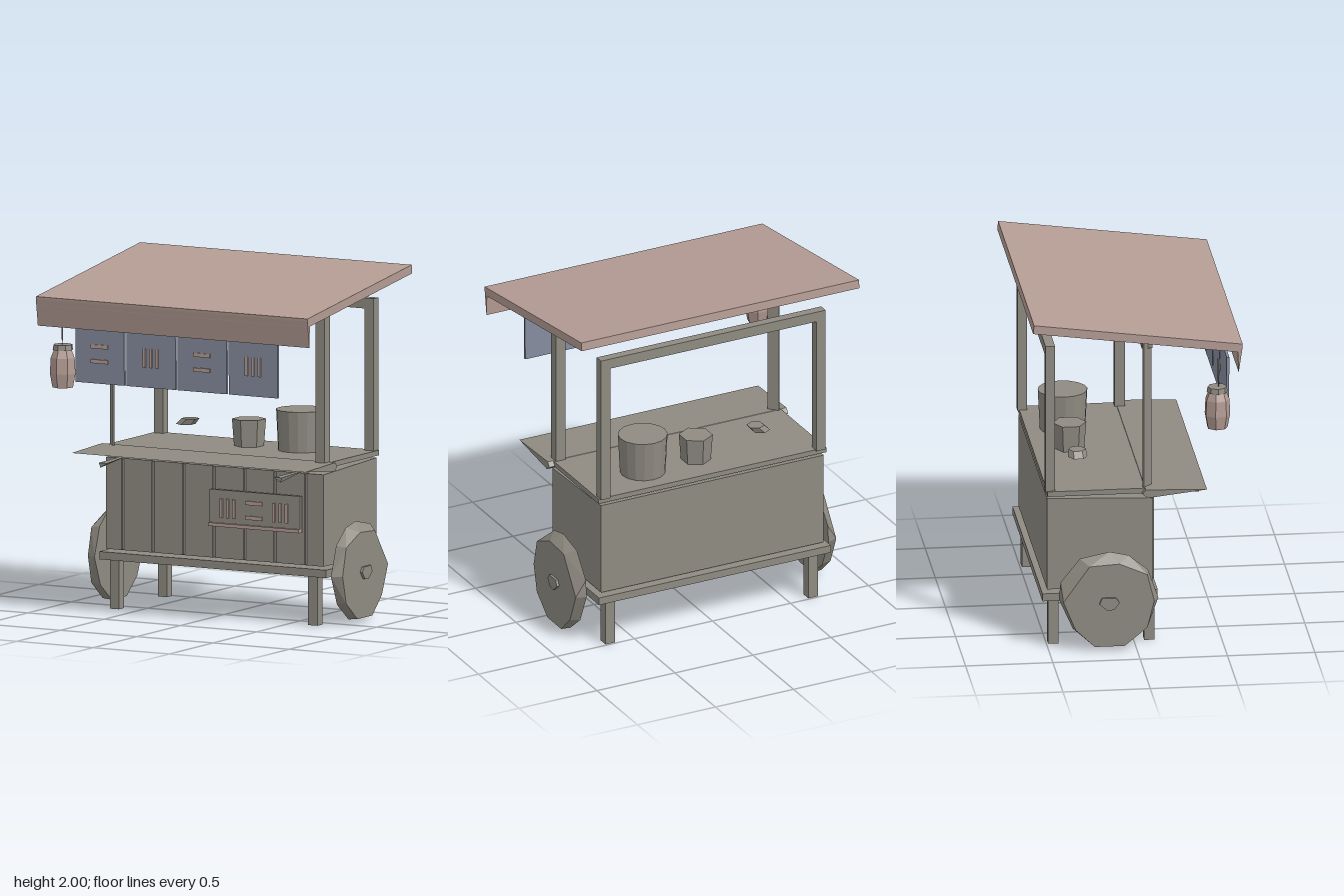
import * as THREE from 'three';
import { ConvexGeometry } from 'three/addons/geometries/ConvexGeometry.js';

const material = (name, color) => {
  const m = new THREE.MeshStandardMaterial({ color, flatShading: true });
  m.name = name;
  return m;
};

export function createModel() {
  const wood = material('weatheredWood', 0x8f8b82);
  const pink = material('dustyPink', 0xb49c94);
  const blue = material('slateBlue', 0x858c9d);
  const cart = new THREE.Group();
  cart.name = 'foodCart';

  const add = (name, geometry, mat) => {
    const mesh = new THREE.Mesh(geometry, mat);
    mesh.name = name;
    cart.add(mesh);
    return mesh;
  };
  // Box given by its lower and upper limits on each axis
  const box = (name, mat, x0, x1, y0, y1, z0, z1) => {
    const mesh = add(name, new THREE.BoxGeometry(x1 - x0, y1 - y0, z1 - z0), mat);
    mesh.position.set((x0 + x1) / 2, (y0 + y1) / 2, (z0 + z1) / 2);
    return mesh;
  };
  // Side profile of [z, y] points stretched across x
  const profile = (name, mat, points, x0, x1) => {
    const shape = new THREE.Shape(points.map(([z, y]) => new THREE.Vector2(-z, y)));
    const g = new THREE.ExtrudeGeometry(shape, { depth: x1 - x0, bevelEnabled: false });
    g.rotateY(Math.PI / 2).translate(x0, 0, 0);
    return add(name, g, mat);
  };
  const hull = (name, mat, points) =>
    add(name, new ConvexGeometry(points.map((p) => new THREE.Vector3(...p))), mat);

  // Sloping roof and its front valance
  profile('roof', pink, [[0.6, 1.84], [0.595, 1.79], [-0.6, 1.95], [-0.595, 2]], -0.89, 0.89);
  profile('valance', pink, [[0.6, 1.825], [0.577, 1.67], [0.572, 1.79]], -0.89, 0.89);

  // Cabinet, front battens and platform
  profile('cabinet', wood, [[0.105, 0.34], [0.105, 0.868], [-0.5, 0.89], [-0.5, 0.34]], -0.713, 0.713);
  for (let i = -3; i <= 3; i++) {
    const x = i * 0.2;
    box('frontBatten', wood, x - 0.005, x + 0.005, 0.345, 0.865, 0.1, 0.125);
  }
  box('platform', wood, -0.743, 0.743, 0.28, 0.325, -0.53, 0.13);

  // Counter, tapering serving shelf and its brackets
  box('counter', wood, -0.73, 0.73, 0.905, 0.935, -0.5, 0.08);
  profile('servingShelf', wood, [[0.41, 0.925], [0.06, 0.937], [0.04, 0.91], [0.07, 0.887]], -0.765, 0.765);
  for (const s of [-1, 1]) {
    hull('shelfBracket', wood, [
      [s * 0.545, 0.878, 0.385], [s * 0.6, 0.878, 0.385], [s * 0.59, 0.85, 0.385],
      [s * 0.57, 0.885, 0.11], [s * 0.59, 0.885, 0.11],
    ]);
  }

  // Legs, rear posts and wheels on both sides
  const innerRim = [[-0.15, 0.575], [-0.32, 0.54], [-0.43, 0.4], [-0.44, 0.3], [-0.36, 0.12],
    [-0.24, 0.02], [-0.07, 0.02], [0.06, 0.12], [0.13, 0.29], [0.07, 0.46], [-0.04, 0.55]];
  const outerRim = [[-0.1, 0.52], [-0.27, 0.51], [-0.42, 0.3], [-0.35, 0.13], [-0.24, 0.025],
    [-0.07, 0.025], [0.06, 0.13], [0.1, 0.29], [0.06, 0.45]];
  const hubRim = [[-0.1, 0.29], [-0.12, 0.32], [-0.2, 0.32], [-0.215, 0.285], [-0.17, 0.245], [-0.13, 0.25]];
  for (const s of [-1, 1]) {
    for (const z of [0.09, -0.46]) {
      const x = s * 0.65;
      box('leg', wood, x - 0.03, x + 0.03, 0, 0.285, z - 0.03, z + 0.03);
    }
    box('rearPost', wood, s * 0.69 - 0.03, s * 0.69 + 0.03, 0.93, 1.81, -0.51, -0.455);
    const ring = (x, rim) => rim.map(([z, y]) => [s * x, y, z]);
    hull('wheel', wood, [...ring(0.775, innerRim), ...ring(0.835, outerRim)]);
    hull('wheelHub', wood, [...ring(0.765, hubRim), ...ring(0.85, hubRim)]);
  }

  // Front posts: one square, one a thin slat set on the diagonal
  box('frontPost', wood, 0.66, 0.72, 0.93, 1.8, 0.045, 0.105);
  const slat = box('frontSlatPost', wood, -0.725, -0.655, 0.93, 1.8, 0.071, 0.079);
  slat.rotation.y = -Math.PI / 4;
  box('rearBeam', wood, -0.69, 0.69, 1.75, 1.81, -0.51, -0.455);
  box('frontBeam', wood, -0.69, 0.69, 1.765, 1.8, 0.045, 0.105);

  // Plain ornamental bars, either two across or three upright
  const ornament = (name, x, y, z, upright) => {
    const count = upright ? 3 : 2;
    for (let i = 0; i < count; i++) {
      const d = i - (count - 1) / 2;
      if (upright) box(name, pink, x + d * 0.042 - 0.009, x + d * 0.042 + 0.009, y - 0.055, y + 0.055, z, z + 0.008);
      else box(name, pink, x - 0.055, x + 0.055, y + d * 0.085 - 0.011, y + d * 0.085 + 0.011, z, z + 0.008);
    }
  };

  // Hanging cloth banners
  for (let i = 0; i < 4; i++) {
    const x = -0.5 + i * 0.335;
    profile('banner', blue, [[0.548, 1.36], [0.55, 1.68], [0.535, 1.68], [0.53, 1.36]], x - 0.16, x + 0.16);
    ornament('bannerOrnament', x, 1.53, 0.549, i % 2 === 1);
  }

  // Front panel with a ledge
  box('frontPanel', wood, -0.01, 0.583, 0.54, 0.74, 0.125, 0.148);
  box('panelLedge', pink, -0.01, 0.583, 0.53, 0.55, 0.125, 0.165);
  for (let i = 0; i < 3; i++) ornament('panelOrnament', 0.11 + i * 0.172, 0.635, 0.148, i !== 1);

  // Pots and a small tilted dish
  const pot = (name, rTop, rBottom, h, sides, x, z) => {
    add(name, new THREE.CylinderGeometry(rTop, rBottom, h, sides), wood).position.set(x, 0.93 + h / 2, z);
  };
  pot('largePot', 0.142, 0.13, 0.24, 16, 0.338, -0.29);
  pot('smallPot', 0.097, 0.085, 0.16, 6, -0.002, -0.29);
  const dish = new THREE.CylinderGeometry(0.05, 0.055, 0.035, 6);
  const p = dish.attributes.position;
  for (let i = 0; i < p.count; i++) p.setX(i, p.getX(i) + p.getY(i) * 0.9);
  add('dish', dish, wood).position.set(-0.4, 1.047, -0.29);

  // Lantern with cap and cord
  const lantern = add('lantern', new THREE.LatheGeometry([
    [0, -0.11], [0.06, -0.11], [0.075, -0.03], [0.07, 0.06], [0.05, 0.11], [0, 0.11],
  ].map(([r, y]) => new THREE.Vector2(r, y)), 7), pink);
  lantern.position.set(-0.79, 1.42, 0.465);
  add('lanternCap', new THREE.CylinderGeometry(0.055, 0.06, 0.03, 8), wood).position.set(-0.79, 1.54, 0.465);
  add('lanternCord', new THREE.CylinderGeometry(0.009, 0.002, 0.17, 4), wood).position.set(-0.79, 1.635, 0.472);

  return cart;
}
